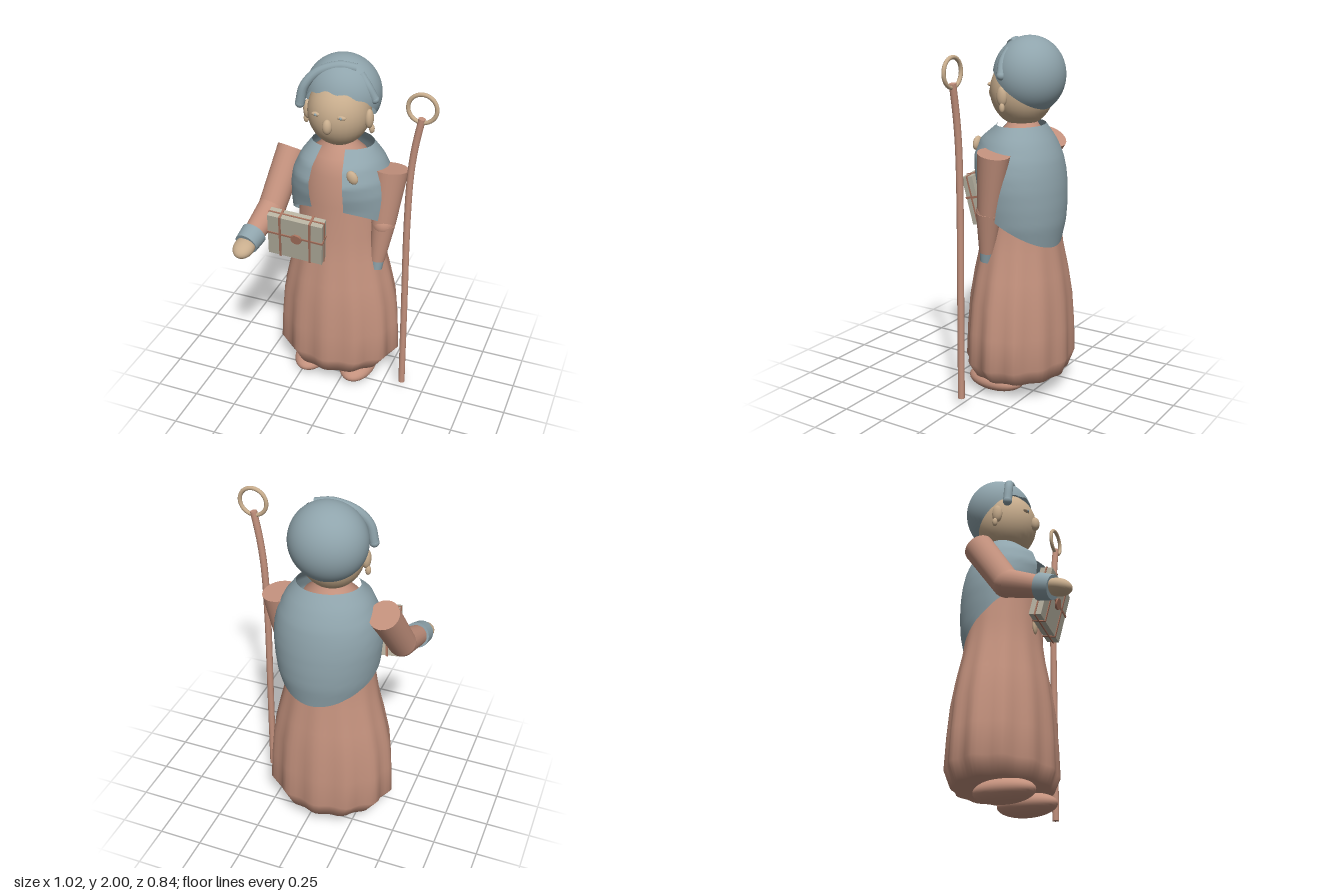
import * as THREE from 'three';

const mat = (name, color, side = THREE.FrontSide) => {
  const m = new THREE.MeshStandardMaterial({ color, side });
  m.name = name;
  return m;
};
const V = (x, y, z) => new THREE.Vector3(x, y, z);

// Piecewise linear lookup in rows [key, value, value...] with rising keys
function lookup(rows, key, col) {
  let i = 0;
  while (i < rows.length - 2 && key > rows[i + 1][0]) i++;
  const a = rows[i], b = rows[i + 1];
  const t = THREE.MathUtils.clamp((key - a[0]) / (b[0] - a[0]), 0, 1);
  return a[col] + (b[col] - a[col]) * t;
}

// Surface from a grid of points; u runs round the outside, v runs upward
function surface(nu, nv, fn, closed) {
  const pos = [], idx = [], cols = closed ? nu : nu + 1;
  for (let j = 0; j <= nv; j++)
    for (let i = 0; i < cols; i++) pos.push(...fn(i / nu, j / nv, j).toArray());
  for (let j = 0; j < nv; j++)
    for (let i = 0; i < nu; i++) {
      const k = (i + 1) % cols;
      const a = j * cols + i, b = j * cols + k, c = b + cols, d = a + cols;
      idx.push(a, b, c, a, c, d);
    }
  const g = new THREE.BufferGeometry();
  g.setAttribute('position', new THREE.Float32BufferAttribute(pos, 3));
  g.setIndex(idx);
  g.computeVertexNormals();
  return g;
}

export function createModel() {
  const root = new THREE.Group();
  root.name = 'robedTraveller';
  const robe = mat('robe clay', 0xc3917d, THREE.DoubleSide);
  const cloth = mat('slate cloth', 0x8fa4ac, THREE.DoubleSide);
  const skin = mat('skin tan', 0xc8ad8d);
  const leather = mat('case stone', 0xb8b3a2);
  const strap = mat('strap brown', 0xa9745f);

  const add = (name, geo, m, parent = root) => {
    const mesh = new THREE.Mesh(geo, m);
    mesh.name = name;
    parent.add(mesh);
    return mesh;
  };
  const ball = (name, m, p, r, rotZ = 0, rotX = 0) => {
    const mesh = add(name, new THREE.SphereGeometry(1, 32, 20), m);
    mesh.position.set(...p);
    mesh.scale.set(...r);
    mesh.rotation.set(rotX, 0, rotZ);
    return mesh;
  };
  // Tapered cylinder between two points
  const limb = (name, m, a, b, ra, rb, sides = 24) => {
    const dir = b.clone().sub(a);
    const mesh = add(name, new THREE.CylinderGeometry(rb, ra, dir.length(), sides), m);
    mesh.position.copy(a).lerp(b, 0.5);
    mesh.quaternion.setFromUnitVectors(V(0, 1, 0), dir.normalize());
    return mesh;
  };
  const tube = (name, m, pts, r) =>
    add(name, new THREE.TubeGeometry(new THREE.CatmullRomCurve3(pts), 32, r, 12), m);

  // Robe: height, half width, half depth, fold depth
  const rings = [
    [0.11, 0, 0, 0], [0.11, 0.295, 0.255, 0.03], [0.2, 0.362, 0.28, 0.035],
    [0.38, 0.353, 0.275, 0.03], [0.55, 0.338, 0.265, 0.022], [0.7, 0.305, 0.245, 0.018],
    [0.85, 0.268, 0.217, 0.012], [1.0, 0.242, 0.2, 0.005], [1.2, 0.228, 0.187, 0],
    [1.38, 0.2, 0.18, 0], [1.47, 0.15, 0.135, 0], [1.52, 0.09, 0.09, 0], [1.56, 0.07, 0.07, 0],
  ];
  add('robe', surface(72, rings.length - 1, (u, v, j) => {
    const [y, rx, rz, f] = rings[j], a = u * Math.PI * 2;
    const k = 1 + f * Math.cos(12 * a);
    return V(-0.07 + Math.sin(a) * rx * k, y, -0.125 + Math.cos(a) * rz * k);
  }, true), robe);

  // Shawl: height, half width, depth to the back, depth to the front
  const shawl = [
    [0.88, 0.24, 0.24, 0.2], [1.0, 0.275, 0.262, 0.2], [1.1, 0.288, 0.266, 0.2],
    [1.2, 0.295, 0.262, 0.213], [1.28, 0.29, 0.252, 0.236], [1.36, 0.272, 0.235, 0.248],
    [1.45, 0.23, 0.195, 0.215], [1.53, 0.17, 0.14, 0.115],
  ];
  add('shawl', surface(72, 20, (u, v) => {
    const open = THREE.MathUtils.lerp(0.32, 0.4, v);
    const a = open + u * (Math.PI * 2 - 2 * open);
    const hem = 1.04 + 0.165 * Math.cos(a);
    const y = hem + (1.53 - hem) * v;
    const rz = lookup(shawl, y, Math.cos(a) < 0 ? 2 : 3);
    return V(-0.05 + Math.sin(a) * lookup(shawl, y, 1) - 0.015 * Math.cos(a), y,
      -0.12 + Math.cos(a) * rz);
  }, false), cloth);
  ball('brooch', skin, [0.077, 1.42, 0.075], [0.03, 0.04, 0.02], 0.5);
  ball('pendant', skin, [-0.13, 1.0, 0.085], [0.025, 0.055, 0.012]);

  // Shoes
  for (const x of [-0.215, 0.078]) ball('shoe', robe, [x, 0.065, -0.05], [0.105, 0.063, 0.17]);

  // Right arm, reaching forward
  const rs = V(-0.365, 1.41, -0.15), re = V(-0.412, 1.13, 0.04), rw = V(-0.44, 1.05, 0.25);
  limb('rightUpperSleeve', robe, rs, re, 0.085, 0.078);
  ball('rightElbow', robe, re.toArray(), [0.078, 0.078, 0.078]);
  limb('rightForeSleeve', robe, re, rw, 0.077, 0.058);
  limb('rightCuff', cloth, V(-0.437, 1.055, 0.24), V(-0.447, 1.03, 0.32), 0.073, 0.066);
  ball('rightHand', skin, [-0.447, 1.025, 0.345], [0.06, 0.045, 0.078], 0, 0.25);

  // Left arm, hanging
  const ls = V(0.225, 1.405, -0.125), le = V(0.205, 1.08, -0.08), lw = V(0.182, 0.85, -0.055);
  limb('leftUpperSleeve', robe, ls, le, 0.1, 0.07).scale.x = 0.88;
  ball('leftElbow', robe, le.toArray(), [0.064, 0.07, 0.07]);
  limb('leftForeSleeve', robe, le, lw, 0.068, 0.043);
  limb('leftCuff', cloth, V(0.184, 0.87, -0.058), V(0.18, 0.795, -0.048), 0.042, 0.033);

  // Head and face
  ball('head', skin, [-0.07, 1.705, -0.12], [0.172, 0.192, 0.175]);
  ball('nose', skin, [-0.07, 1.682, 0.06], [0.027, 0.042, 0.027]);
  for (const s of [-1, 1]) {
    const x = -0.07 + s * 0.07;
    ball('eye', skin, [x, 1.735, 0.035], [0.027, 0.012, 0.014]);
    ball('pupil', cloth, [x, 1.735, 0.045], [0.009, 0.008, 0.008]);
    ball('ear', skin, [-0.07 + s * 0.175, 1.69, -0.1], [0.024, 0.054, 0.03]);
    ball('earring', skin, [-0.07 + s * 0.188, 1.63, -0.108], [0.015, 0.026, 0.015]);
  }

  // Hair: a cap tipped backward with a ragged front edge
  const tilt = 0.62;
  add('hair', surface(72, 24, (u, v) => {
    const a = u * Math.PI * 2;
    const front = Math.max(0, Math.cos(a));
    const end = 1.93 + 0.035 * Math.sin(a * 11) * front - 0.05 * front;
    const th = end * (1 - v);
    const p = V(Math.sin(th) * Math.sin(a), Math.cos(th), Math.sin(th) * Math.cos(a));
    p.applyAxisAngle(V(1, 0, 0), -tilt);
    return V(-0.065 + p.x * 0.208, 1.79 + p.y * 0.21, -0.168 + p.z * 0.192);
  }, true), cloth);
  tube('longLock', cloth, [V(0.03, 1.955, -0.11), V(-0.06, 1.965, -0.09), V(-0.17, 1.925, -0.06),
    V(-0.235, 1.85, -0.035), V(-0.26, 1.75, -0.03)], 0.026);
  ball('longLockTip', cloth, [-0.26, 1.75, -0.03], [0.026, 0.026, 0.026]);
  tube('shortLock', cloth, [V(0.05, 1.93, -0.11), V(0.095, 1.87, -0.1), V(0.13, 1.8, -0.11)], 0.024);
  ball('shortLockTip', cloth, [0.13, 1.8, -0.11], [0.024, 0.024, 0.024]);

  // Strapped case
  const box = new THREE.Group();
  box.name = 'case';
  box.position.set(-0.197, 1.067, 0.2);
  box.rotation.set(0.21, 0.05, -0.1);
  root.add(box);
  add('caseBody', new THREE.BoxGeometry(0.31, 0.285, 0.068), leather, box);
  for (const x of [-0.085, 0.085])
    add('uprightStrap', new THREE.BoxGeometry(0.012, 0.293, 0.076), strap, box).position.x = x;
  add('crossStrap', new THREE.BoxGeometry(0.318, 0.012, 0.076), strap, box).position.y = 0.02;
  add('topStrap', new THREE.BoxGeometry(0.318, 0.293, 0.008), strap, box);
  const clasp = add('clasp', new THREE.CylinderGeometry(0.031, 0.031, 0.02, 20), strap, box);
  clasp.rotation.x = Math.PI / 2;
  clasp.position.set(0.01, 0.015, 0.036);

  // Staff with ring
  const path = [V(0.37, 0.045, -0.005), V(0.367, 0.6, -0.005), V(0.364, 1.15, -0.005),
    V(0.372, 1.45, -0.005), V(0.39, 1.62, -0.005), V(0.42, 1.785, -0.005)];
  tube('staff', robe, path, 0.019);
  for (const [p, q] of [[path[0], path[1]], [path[5], path[4]]])
    limb('staffEnd', robe, p, p.clone().lerp(q, 0.02), 0.019, 0.019, 12);
  add('staffRing', new THREE.TorusGeometry(0.076, 0.011, 12, 40), skin).position.set(0.42, 1.84, -0.005);

  return root;
}
